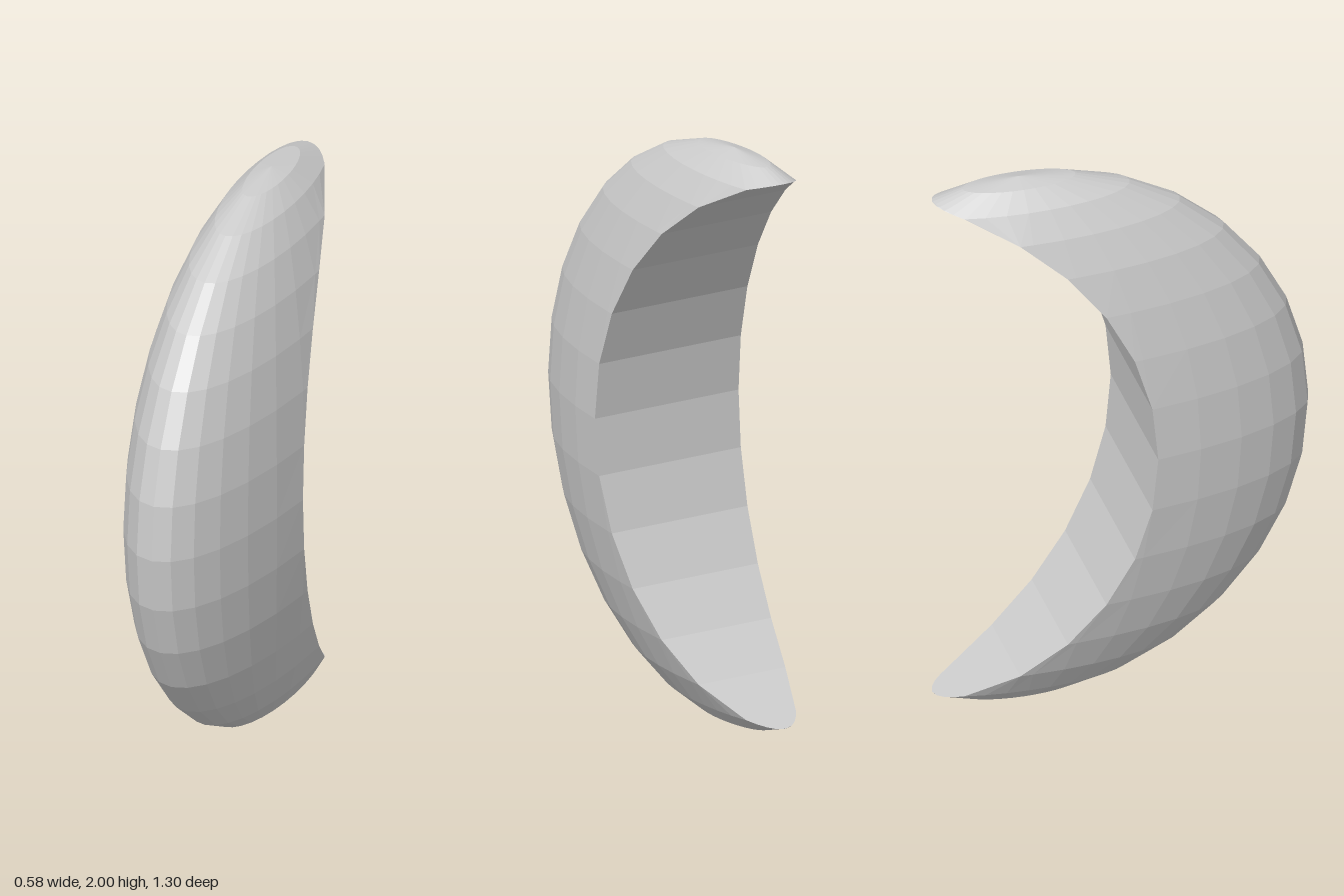
import * as THREE from 'three';

const SEGMENTS = 32;      // steps around the vertical axis
const BANDS = 16;         // steps from top to bottom
const HALF_WIDTH = 0.315; // flattening of the ball in x
const CENTRE_Z = -0.35;
const THICKNESS = 0.6;    // the hollow is the same circle shifted back this far

// Horizontal levels {y, s}: height and ring radius, with extra levels at the rounded tips
function makeLevels() {
  const levels = [];
  const half = BANDS / 2;
  for (let k = 0; k <= half; k++) {
    const t = (k / half) * Math.PI / 2;
    levels.push({ y: Math.cos(t), s: Math.sin(t) });
  }
  const [, upper, lower] = levels;
  const tips = [0.3, 0.308, 0.325, 0.35].map((s) => ({
    s,
    y: upper.y + (lower.y - upper.y) * (s - upper.s) / (lower.s - upper.s),
  }));
  levels.splice(2, 0, ...tips);
  const mirrored = levels.slice(0, -1).reverse().map(({ y, s }) => ({ y: -y, s }));
  return [...levels, ...mirrored];
}

// One level of the outer skin, from the right cut edge round the front to the left
function makeRing({ y, s }) {
  const cut = s > 0.3 ? Math.acos(Math.max(-1, (s - THICKNESS) / s)) : Math.PI;
  const ring = [];
  for (let j = 0; j <= SEGMENTS; j++) {
    const a = THREE.MathUtils.clamp((j / SEGMENTS * 2 - 1) * Math.PI, -cut, cut);
    ring.push(new THREE.Vector3(HALF_WIDTH * s * Math.sin(a), 1 + y, CENTRE_Z + s * Math.cos(a)));
  }
  return ring;
}

// Adds a quad (top left, top right, bottom left, bottom right), skipping empty triangles
function addQuad(out, a, b, c, d) {
  for (const tri of [[a, c, b], [b, c, d]]) {
    if (new THREE.Triangle(...tri).getArea() > 1e-8) {
      for (const p of tri) out.push(p.x, p.y, p.z);
    }
  }
}

function makeMesh(name, positions) {
  const geometry = new THREE.BufferGeometry();
  geometry.setAttribute('position', new THREE.Float32BufferAttribute(positions, 3));
  geometry.computeVertexNormals();
  const mesh = new THREE.Mesh(
    geometry,
    new THREE.MeshStandardMaterial({ color: 0xcccccc, flatShading: true })
  );
  mesh.name = name;
  return mesh;
}

export function createModel() {
  const rings = makeLevels().map(makeRing);
  const outer = [];
  const inner = [];
  for (let i = 0; i < rings.length - 1; i++) {
    const top = rings[i];
    const low = rings[i + 1];
    // Rounded outer skin
    for (let j = 0; j < SEGMENTS; j++) addQuad(outer, top[j], top[j + 1], low[j], low[j + 1]);
    // Hollow back, straight from side to side
    addQuad(inner, top[SEGMENTS], top[0], low[SEGMENTS], low[0]);
  }
  const group = new THREE.Group();
  group.name = 'crescent';
  group.add(makeMesh('outerSkin', outer), makeMesh('hollowBack', inner));
  return group;
}
